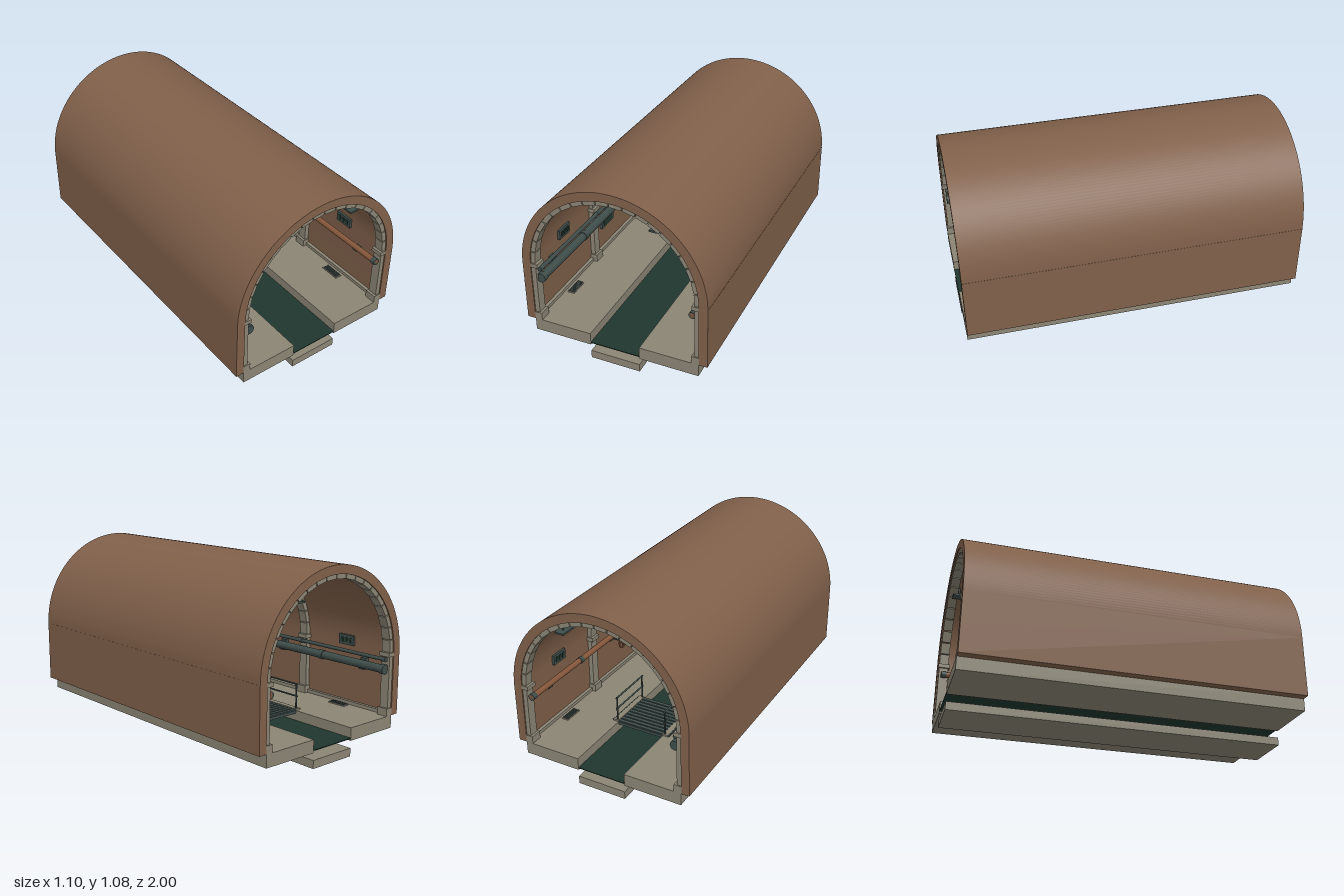
import * as THREE from 'three';
import { toCreasedNormals } from 'three/addons/utils/BufferGeometryUtils.js';

const mat = (name, color) => Object.assign(new THREE.MeshStandardMaterial({ color }), { name });

export function createModel() {
  const brick = mat('brick', 0x80604a);
  const stone = mat('stone', 0x8b8575);
  const iron = mat('iron', 0x3f4e4b);
  const rust = mat('rust', 0x85573c);
  const water = mat('water', 0x20362d);

  const root = new THREE.Group();
  root.name = 'tunnel';
  const add = (name, geo, m, x = 0, y = 0, z = 0, parent = root) => {
    const mesh = new THREE.Mesh(geo, m);
    mesh.name = name;
    mesh.position.set(x, y, z);
    parent.add(mesh);
    return mesh;
  };
  // box given by its min/max corners
  const box = (name, m, x0, x1, y0, y1, z0, z1, parent = root) =>
    add(name, new THREE.BoxGeometry(Math.abs(x1 - x0), y1 - y0, z1 - z0), m,
      (x0 + x1) / 2, (y0 + y1) / 2, (z0 + z1) / 2, parent);
  const rodZ = (name, m, r, len, x, y, z, parent = root) =>
    add(name, new THREE.CylinderGeometry(r, r, len, 20).rotateX(Math.PI / 2), m, x, y, z, parent);

  const SPRING = 0.535, FLOOR = 0.165;

  // vaulted shell
  const s = new THREE.Shape();
  s.moveTo(0.55, FLOOR);
  s.lineTo(0.55, SPRING);
  s.absarc(0, SPRING, 0.549, 0, Math.PI, false);
  s.lineTo(-0.55, FLOOR);
  s.lineTo(-0.5, FLOOR);
  s.lineTo(-0.5, SPRING);
  s.absarc(0, SPRING, 0.498, Math.PI, 0, true);
  s.lineTo(0.5, FLOOR);
  s.closePath();
  const shell = new THREE.ExtrudeGeometry(s, { depth: 2, bevelEnabled: false, curveSegments: 48 });
  add('vaultShell', toCreasedNormals(shell, 0.5), brick, 0, 0, -1);

  // walkways, channel bed and water
  for (const k of [-1, 1]) {
    box('walkway', stone, k * 0.15, k * 0.5, 0.09, FLOOR, -1, 1);
    box('wallCurb', stone, k * 0.48, k * 0.5, FLOOR, 0.185, -1, 1);
  }
  box('channelBed', stone, -0.15, 0.15, 0, 0.048, -1, 1);
  box('waterSurface', water, -0.15, 0.15, 0.101, 0.106, -1, 1);

  // ribs: piers with base and capital, topped by a ring of arch stones
  const step = Math.PI / 20, gap = 0.006;
  for (const z of [-0.965, -0.325, 0.325, 0.965]) {
    const rib = new THREE.Group();
    rib.name = 'rib';
    root.add(rib);
    for (const k of [-1, 1]) {
      box('pierBase', stone, k * 0.457, k * 0.503, FLOOR, 0.21, z - 0.035, z + 0.035, rib);
      box('pier', stone, k * 0.472, k * 0.5, 0.21, 0.513, z - 0.028, z + 0.028, rib);
      box('capital', stone, k * 0.458, k * 0.5, 0.513, 0.537, z - 0.035, z + 0.035, rib);
    }
    for (let i = 0; i < 20; i++) {
      const a = i * step + gap, b = (i + 1) * step - gap;
      const p = (r, t) => new THREE.Vector2(r * Math.cos(t), r * Math.sin(t));
      const block = new THREE.Shape([p(0.473, a), p(0.5, a), p(0.5, b), p(0.473, b)]);
      add('archStone', new THREE.ExtrudeGeometry(block, { depth: 0.056, bevelEnabled: false }),
        stone, 0, SPRING, z - 0.028, rib);
    }
  }

  // wall pipes with collars and brackets
  const pipe = (name, m, x, y, r, collars) => {
    const g = new THREE.Group();
    g.name = name;
    root.add(g);
    rodZ('pipeRun', m, r, 1.96, x, y, 0, g);
    for (const z of collars) rodZ('collar', iron, r * 1.18, 0.03, x, y, z, g);
  };
  pipe('largePipe', iron, -0.453, 0.44, 0.024, [-0.965, -0.5, 0, 0.5, 0.965]);
  pipe('conduit', iron, -0.456, 0.497, 0.011, [-0.965, -0.32, 0.32, 0.965]);
  pipe('rustyPipe', rust, 0.453, 0.462, 0.017, [-0.965, -0.5, -0.14, 0.3, 0.965]);
  for (const z of [-0.8, -0.15, 0.15, 0.8]) {
    box('pipeBracket', iron, -0.5, -0.46, 0.405, 0.415, z - 0.02, z + 0.02);
    box('bracketPlate', iron, -0.5, -0.474, 0.405, 0.472, z - 0.02, z + 0.02);
    box('pipeBracket', iron, 0.456, 0.5, 0.428, 0.442, z - 0.02, z + 0.02);
  }

  // valve wheel on a stem
  const valve = new THREE.Group();
  valve.name = 'valve';
  valve.position.set(0.385, 0.436, -0.14);
  root.add(valve);
  add('wheelRim', new THREE.TorusGeometry(0.04, 0.005, 8, 28).rotateY(Math.PI / 2), rust, 0, 0, 0, valve);
  for (const a of [0, Math.PI / 2])
    add('wheelSpoke', new THREE.BoxGeometry(0.006, 0.08, 0.007), rust, 0, 0, 0, valve).rotation.x = a;
  add('valveStem', new THREE.CylinderGeometry(0.005, 0.005, 0.07, 10).rotateZ(Math.PI / 2), iron, 0.035, 0, 0, valve);

  // slotted wall vents and a service panel
  for (const k of [-1, 1]) for (const z of [-0.66, 0.66]) {
    box('ventPlate', iron, k * 0.482, k * 0.5, 0.525, 0.585, z - 0.055, z + 0.055);
    for (const d of [-0.03, 0, 0.03])
      box('ventSlot', water, k * 0.478, k * 0.482, 0.54, 0.57, z + d - 0.009, z + d + 0.009);
  }
  box('servicePanel', iron, -0.5, -0.484, 0.32, 0.42, 0.08, 0.23);
  box('panelDoor', water, -0.484, -0.48, 0.335, 0.405, 0.1, 0.21);

  // floor drains beside the walls
  for (const k of [-1, 1]) for (const z of [-0.65, 0.65]) {
    box('drainFrame', stone, k * 0.42, k * 0.462, FLOOR, 0.17, z - 0.06, z + 0.06);
    for (let i = 0; i < 4; i++)
      box('drainBar', iron, k * (0.424 + i * 0.01), k * (0.429 + i * 0.01), 0.17, 0.175, z - 0.055, z + 0.055);
  }

  // footbridge across the channel
  const bridge = new THREE.Group();
  bridge.name = 'footbridge';
  root.add(bridge);
  const z0 = -0.58, z1 = -0.28;
  for (let i = 0; i < 10; i++) {
    const z = z0 + (i + 0.5) * (z1 - z0) / 10;
    box('deckSlat', iron, -0.19, 0.19, 0.165, 0.172, z - 0.011, z + 0.011, bridge);
  }
  for (const z of [z0 + 0.01, z1 - 0.01])
    box('deckBeam', iron, -0.15, 0.15, 0.148, 0.165, z - 0.01, z + 0.01, bridge);
  for (const k of [-1, 1]) {
    box('bridgeFoot', stone, k * 0.15, k * 0.182, 0.16, 0.175, z0, z1, bridge);
    for (const z of [z0 + 0.01, z1 - 0.01])
      add('railPost', new THREE.CylinderGeometry(0.005, 0.005, 0.155, 10), iron, k * 0.16, 0.248, z, bridge);
    for (const y of [0.25, 0.322])
      rodZ('handrail', iron, 0.005, z1 - z0, k * 0.16, y, (z0 + z1) / 2, bridge);
  }

  // hanging lamps under the vault
  for (const z of [-0.84, 0.84]) {
    box('lampShade', iron, 0.212, 0.268, 0.905, 0.915, z - 0.13, z + 0.13);
    for (const d of [-0.09, 0.09])
      box('lampHanger', iron, 0.238, 0.242, 0.915, 0.975, z + d - 0.004, z + d + 0.004);
  }
  return root;
}
